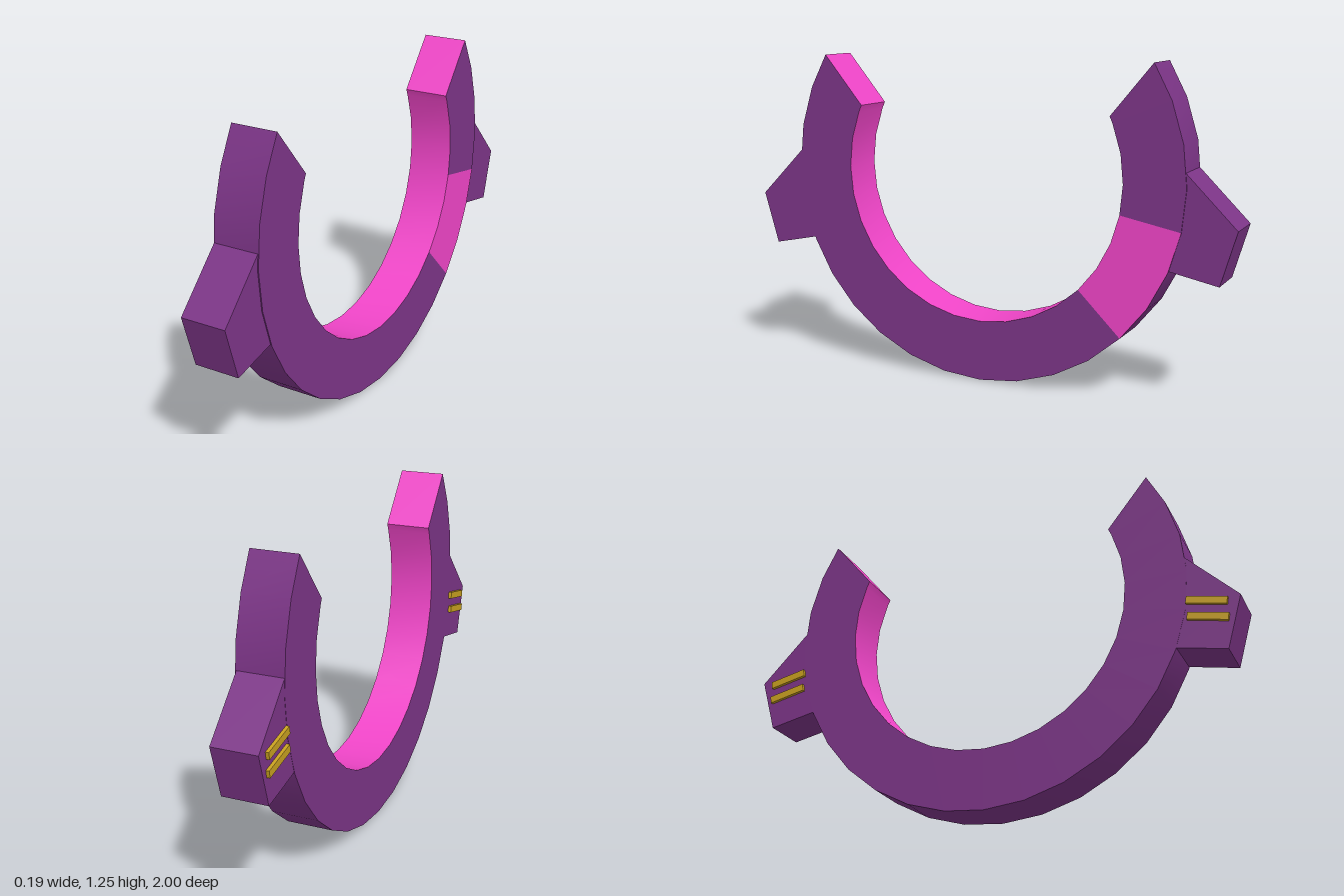
import * as THREE from 'three';

const PURPLE = 0x7d3588, PINK = 0xf045c8, GOLD = 0xc8a020;
const CENTRE_Y = 0.812, R_OUT = 0.812, R_IN = 0.575;
const X0 = -0.088, X1 = 0.095; // the two flat faces of the ring
const N = 11; // segments each way from the bottom

const material = (color) => new THREE.MeshStandardMaterial({ color });

// Point on the ring at step k (0 = bottom, +k towards +z); the end cuts are slanted
function ringPoint(k, outer, x) {
  const end = outer ? 122.9 : 115.3;
  const deg = Math.abs(k) === N ? Math.sign(k) * end : k * 11.25;
  const a = THREE.MathUtils.degToRad(deg);
  const r = outer ? R_OUT : R_IN;
  return [x, CENTRE_Y - r * Math.cos(a), r * Math.sin(a)];
}

function arc(k0, k1, outer, x) {
  const points = [];
  for (let k = k0; k <= k1; k++) points.push(ringPoint(k, outer, x));
  return points;
}

// Smooth band of quads between two rows of points
function band(name, color, a, b) {
  const index = [];
  const n = a.length;
  for (let i = 0; i < n - 1; i++) {
    index.push(i, n + i, n + i + 1, i, n + i + 1, i + 1);
  }
  const geometry = new THREE.BufferGeometry();
  geometry.setAttribute('position', new THREE.Float32BufferAttribute([...a, ...b].flat(), 3));
  geometry.setIndex(index);
  geometry.computeVertexNormals();
  const mesh = new THREE.Mesh(geometry, material(color));
  mesh.name = name;
  return mesh;
}

// Prism from a [z, y] outline, spanning x0 to x1
function prism(name, color, outline, x0, x1) {
  const shape = new THREE.Shape(outline.map(([z, y]) => new THREE.Vector2(z, y)));
  const geometry = new THREE.ExtrudeGeometry(shape, { depth: x1 - x0, bevelEnabled: false });
  geometry.rotateY(-Math.PI / 2);
  geometry.translate(x1, 0, 0);
  const mesh = new THREE.Mesh(geometry, material(color));
  mesh.name = name;
  return mesh;
}

export function createModel() {
  const model = new THREE.Group();
  model.name = 'openRing';

  // Curved walls
  model.add(band('outerWall', PURPLE, arc(-N, N, true, X0), arc(-N, N, true, X1)));
  model.add(band('innerWall', PINK, arc(-N, N, false, X1), arc(-N, N, false, X0)));

  // Flat faces, with one bright panel on the left
  model.add(band('rightFace', PURPLE, arc(-N, N, false, X0), arc(-N, N, true, X0)));
  for (const [name, color, k0, k1] of [
    ['leftFaceBack', PURPLE, -N, -7],
    ['leftFacePanel', PINK, -7, -4],
    ['leftFaceFront', PURPLE, -4, N],
  ]) {
    model.add(band(name, color, arc(k0, k1, true, X1), arc(k0, k1, false, X1)));
  }

  for (const side of [1, -1]) {
    const end = side > 0 ? 'front' : 'back';

    // Slanted end cut
    const row = (x) => [ringPoint(side * N, true, x), ringPoint(side * N, false, x)];
    model.add(side > 0
      ? band(end + 'Tip', PINK, row(X0), row(X1))
      : band(end + 'Tip', PINK, row(X1), row(X0)));

    // Lug on the outside of the ring
    const mirror = (points) => points.map(([z, y]) => [side * z, y]);
    model.add(prism(end + 'Lug', PURPLE,
      mirror([[0.805, 0.87], [1, 0.675], [0.94, 0.47], [0.745, 0.51]]), -0.087, 0.091));

    // Two small bars on the lug
    for (const y of [0.672, 0.607]) {
      model.add(prism(end + 'LugBar', GOLD,
        mirror([[0.805, y + 0.03], [0.955, y - 0.002], [0.95, y - 0.03], [0.80, y + 0.002]]),
        -0.1, -0.08));
    }
  }
  return model;
}
